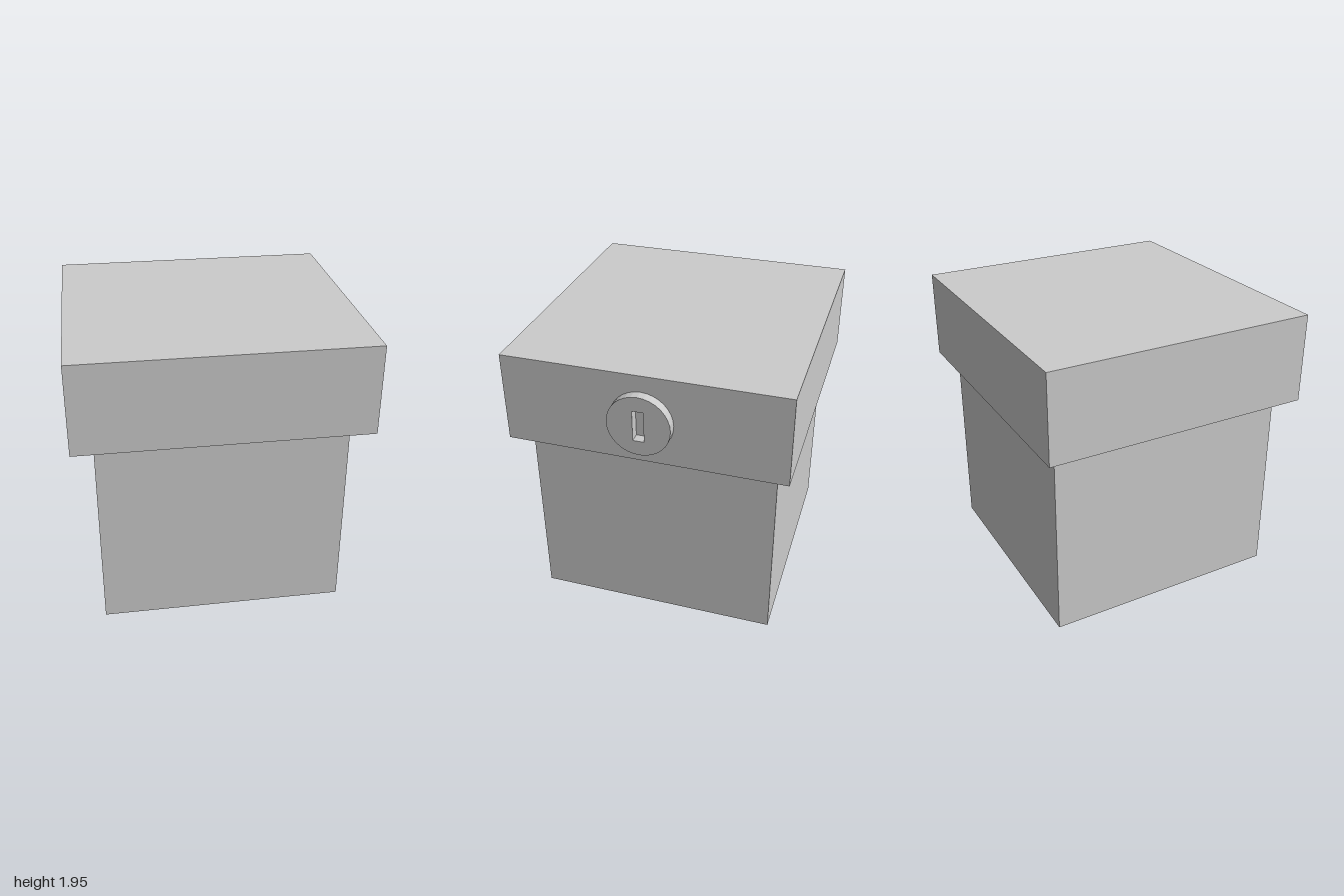
import * as THREE from 'three';

export function createModel() {
  const group = new THREE.Group();
  const material = new THREE.MeshStandardMaterial({ color: 0xcccccc, flatShading: true });

  const add = (name, geometry, x, y, z) => {
    const mesh = new THREE.Mesh(geometry, material);
    mesh.name = name;
    mesh.position.set(x, y, z);
    group.add(mesh);
    return mesh;
  };

  // Square body with an overhanging lid
  add('body', new THREE.BoxGeometry(1.642, 1.345, 1.646), -0.034, 0.6725, 0);
  add('lid', new THREE.BoxGeometry(1.935, 0.605, 1.84), -0.0325, 1.6475, 0);

  // Round lock plate on the left side, pierced by an upright keyhole slot
  const plate = new THREE.Shape();
  const sides = 32;
  for (let i = 0; i < sides; i++) {
    const a = (i / sides) * Math.PI * 2;
    const x = 0.205 * Math.cos(a), y = 0.205 * Math.sin(a);
    if (i === 0) plate.moveTo(x, y);
    else plate.lineTo(x, y);
  }
  plate.closePath();
  const w = 0.036, h = 0.104;
  const slot = new THREE.Path();
  slot.moveTo(-w, -h);
  slot.lineTo(-w, h);
  slot.lineTo(w, h);
  slot.lineTo(w, -h);
  slot.closePath();
  plate.holes.push(slot);
  const lock = new THREE.ExtrudeGeometry(plate, { depth: 0.065, bevelEnabled: false });
  lock.rotateY(Math.PI / 2);
  add('lockPlate', lock, 0.935, 1.635, 0.008);

  return group;
}
